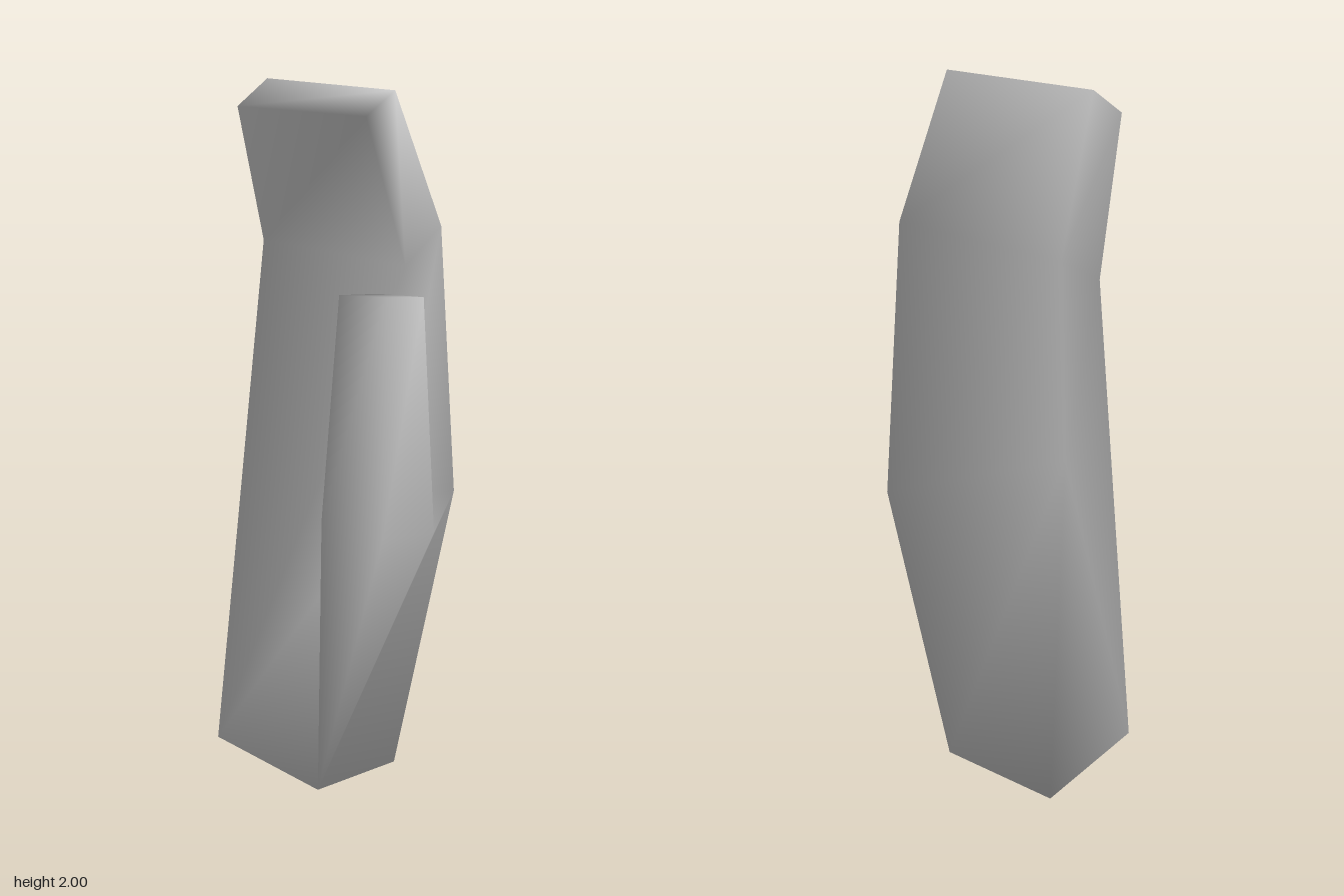
import * as THREE from 'three';

const material = new THREE.MeshStandardMaterial({ color: 0xcccccc, side: THREE.DoubleSide });

// Rings run: outer front, outer back, inner back, inner front
const wrist = [[0.16, 0, 0.08], [0.16, 0, -0.31], [-0.19, 0.065, -0.32], [-0.195, 0.05, 0.115]];
const knuckles = [[0.26, 1.62, 0.145], [0.265, 1.61, -0.415], [0.105, 1.53, -0.41], [0.105, 1.53, 0.155]];
const fingerTip = [[0.08, 2, 0.135], [0.08, 2, -0.36], [-0.03, 1.93, -0.365], [-0.03, 1.94, 0.135]];
const thumbBase = [[-0.12, 0.9, 0.475], [-0.12, 0.9, 0.27], [-0.32, 0.93, 0.26], [-0.32, 0.93, 0.48]];
const thumbTip = [[-0.09, 1.51, 0.40], [-0.09, 1.495, 0.24], [-0.225, 1.51, 0.23], [-0.23, 1.53, 0.40]];

// Single points of the palm
const backFront = [0.295, 0.85, 0.18];
const backRear = [0.32, 1.12, -0.48];
const webRoot = [0.04, 0.89, 0.175];

// Polygons fanned from their first corner; shared corners give smooth normals
function smoothSurface(polygons) {
  const points = [...new Set(polygons.flat())];
  const index = [];
  for (const p of polygons) {
    for (let i = 1; i < p.length - 1; i++) {
      index.push(points.indexOf(p[0]), points.indexOf(p[i]), points.indexOf(p[i + 1]));
    }
  }
  const geometry = new THREE.BufferGeometry();
  geometry.setAttribute('position', new THREE.Float32BufferAttribute(points.flat(), 3));
  geometry.setIndex(index);
  geometry.computeVertexNormals();
  return geometry;
}

// Four side faces between two rings
function loft(lower, upper) {
  return lower.map((corner, i) => {
    const j = (i + 1) % 4;
    return [corner, lower[j], upper[j], upper[i]];
  });
}

export function createModel() {
  const [w0, w1, w2, w3] = wrist;
  const [k0, k1, k2, k3] = knuckles;
  const [b0, b1, b2, b3] = thumbBase;

  const skin = [
    // Back of the hand
    [w0, w1, backRear, backFront], [backFront, backRear, k1, k0],
    // Little finger side
    [w1, w2, backRear], [w2, k2, backRear], [backRear, k2, k1],
    // Palm
    [w2, w3, webRoot, k3, k2],
    // Index finger side
    [webRoot, backFront, k0, k3],
    // Web and root of the thumb
    [webRoot, b1, b0, backFront],
    [w3, w0, backFront, b0, b3],
    [w3, b3, b2, b1, webRoot],
    // Joined fingers and thumb, with rounded-off ends
    ...loft(knuckles, fingerTip), fingerTip,
    ...loft(thumbBase, thumbTip), thumbTip,
    // Wrist end
    [...wrist].reverse(),
  ];

  const hand = new THREE.Group();
  hand.name = 'hand';
  const mesh = new THREE.Mesh(smoothSurface(skin), material);
  mesh.name = 'palmFingersAndThumb';
  hand.add(mesh);
  return hand;
}
